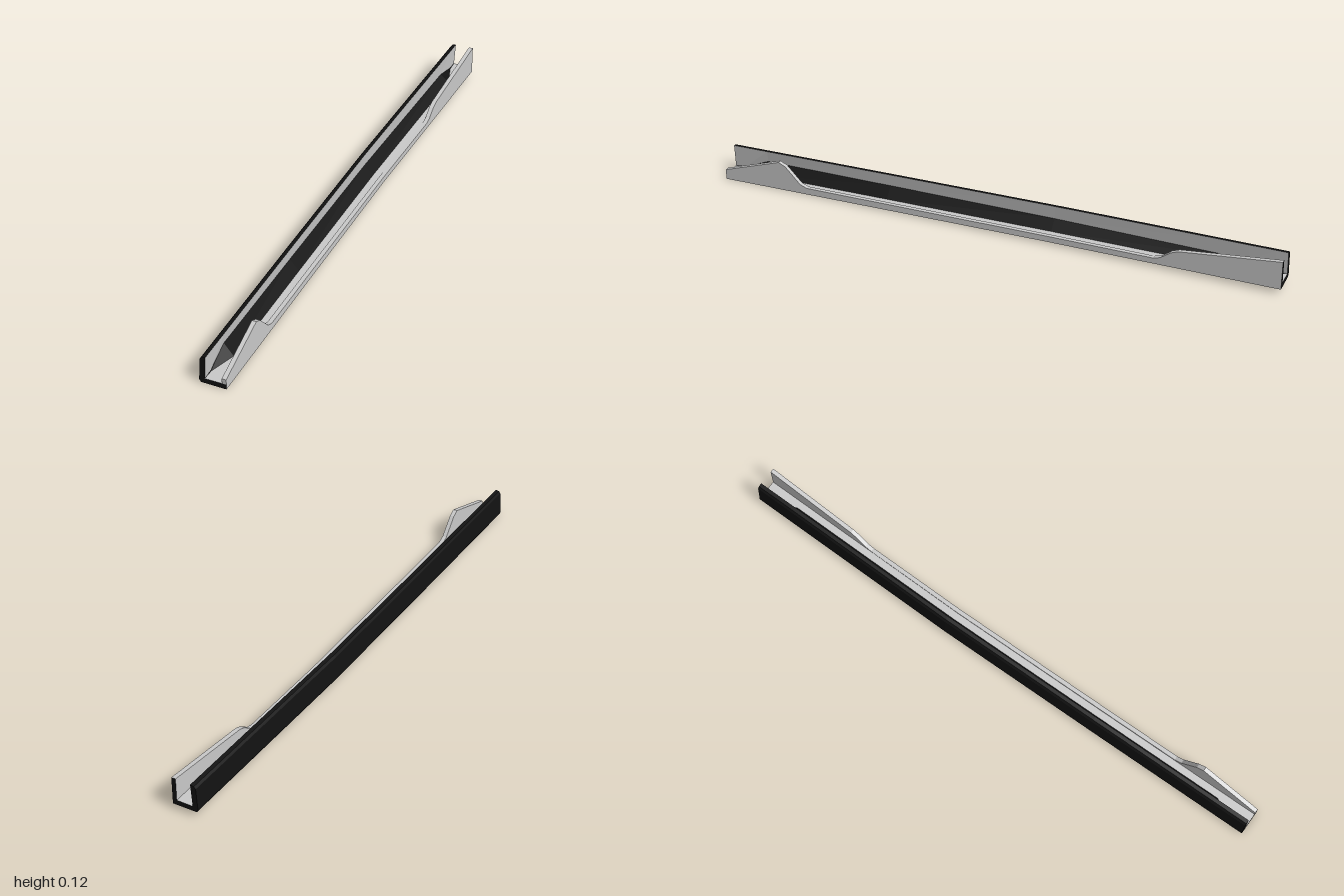
import * as THREE from 'three';

const grey = new THREE.MeshStandardMaterial({ color: 0xcccccc, flatShading: true });
const black = new THREE.MeshStandardMaterial({ color: 0x121212, flatShading: true });

// piecewise-linear lookup in [z, value] pairs, z falling from front to rear
function lerpTable(table, z) {
  for (let i = 1; i < table.length; i++) {
    const [z0, v0] = table[i - 1], [z1, v1] = table[i];
    if (z >= z1) return v0 + (v1 - v0) * (z0 - z) / (z0 - z1);
  }
  return table[table.length - 1][1];
}

// gentle sideways bow and rise of the whole channel
const bow = [[1, 0], [0.4, -0.002], [-0.2, -0.002], [-1, 0.014]];
const rise = [[1, 0], [-0.2, 0.009], [-1, 0.019]];
const place = (x, y, z) => [x + lerpTable(bow, z), y + lerpTable(rise, z), z];

function meshFrom(positions, material, name) {
  const geometry = new THREE.BufferGeometry();
  geometry.setAttribute('position', new THREE.Float32BufferAttribute(positions, 3));
  geometry.computeVertexNormals();
  const mesh = new THREE.Mesh(geometry, material);
  mesh.name = name;
  return mesh;
}

// joins the chosen edges of counter-clockwise sections running front to rear
function skin(sections, edges) {
  const out = [];
  for (let s = 0; s < sections.length - 1; s++) {
    const a = sections[s], b = sections[s + 1];
    for (const e of edges) {
      const f = (e + 1) % a.length;
      out.push(...a[e], ...b[e], ...b[f], ...a[e], ...b[f], ...a[f]);
    }
  }
  return out;
}

// flat end of a section
function cap(section, rear) {
  const outline = section.map(p => new THREE.Vector2(p[0], p[1]));
  return THREE.ShapeUtils.triangulateShape(outline, [])
    .flatMap(t => (rear ? [t[0], t[2], t[1]] : t).flatMap(i => section[i]));
}

export function createModel() {
  const group = new THREE.Group();

  // tall wall and floor, with a sloped fillet that fades out at both ends
  const fillet = [[1, 0], [0.96, 0.06], [0.87, 1], [-0.87, 1], [-0.96, 0.06], [-1, 0]];
  const stations = [1, 0.96, 0.87, 0.4, -0.2, -0.87, -0.96, -1];
  const channel = stations.map(z => {
    const k = lerpTable(fillet, z);
    const filletTop = 0.019 + (0.04 - lerpTable(rise, z)) * k;
    return [
      [-0.029, 0.099], [-0.042, 0.097], [-0.048, 0.089], [-0.053, 0.011],
      [-0.048, 0.001], [0.038, 0], [0.038, 0.018],
      [-0.034 + 0.032 * k, 0.018], [-0.034, filletTop]
    ].map(([x, y]) => place(x, y, z));
  });
  group.add(meshFrom([
    ...skin(channel, [0, 1, 2, 3, 4, 7]),
    ...cap(channel[0], false), ...cap(channel[channel.length - 1], true)
  ], black, 'channelOuterShell'));
  group.add(meshFrom(skin(channel, [5, 6, 8]), grey, 'channelInnerFaces'));

  // cut-away wall: raised at both ends, a low lip between
  const crest = [[1, 0.036], [0.79, 0.106], [0.765, 0.094], [0.71, 0.036], [0.685, 0.026],
    [0.4, 0.027], [-0.2, 0.03], [-0.57, 0.034], [-0.595, 0.041], [-0.63, 0.067],
    [-0.655, 0.077], [-1, 0.119]];
  const wall = crest.map(([z, top]) => {
    const h = top - lerpTable(rise, z);
    return [[0.023, h], [0.023, 0.018], [0.038, 0.018], [0.038, h]].map(([x, y]) => place(x, y, z));
  });
  group.add(meshFrom([...skin(wall, [0, 2, 3]), ...cap(wall[0], false)], grey, 'cutawayWall'));
  group.add(meshFrom(cap(wall[wall.length - 1], true), black, 'cutawayWallRearEnd'));

  return group;
}
